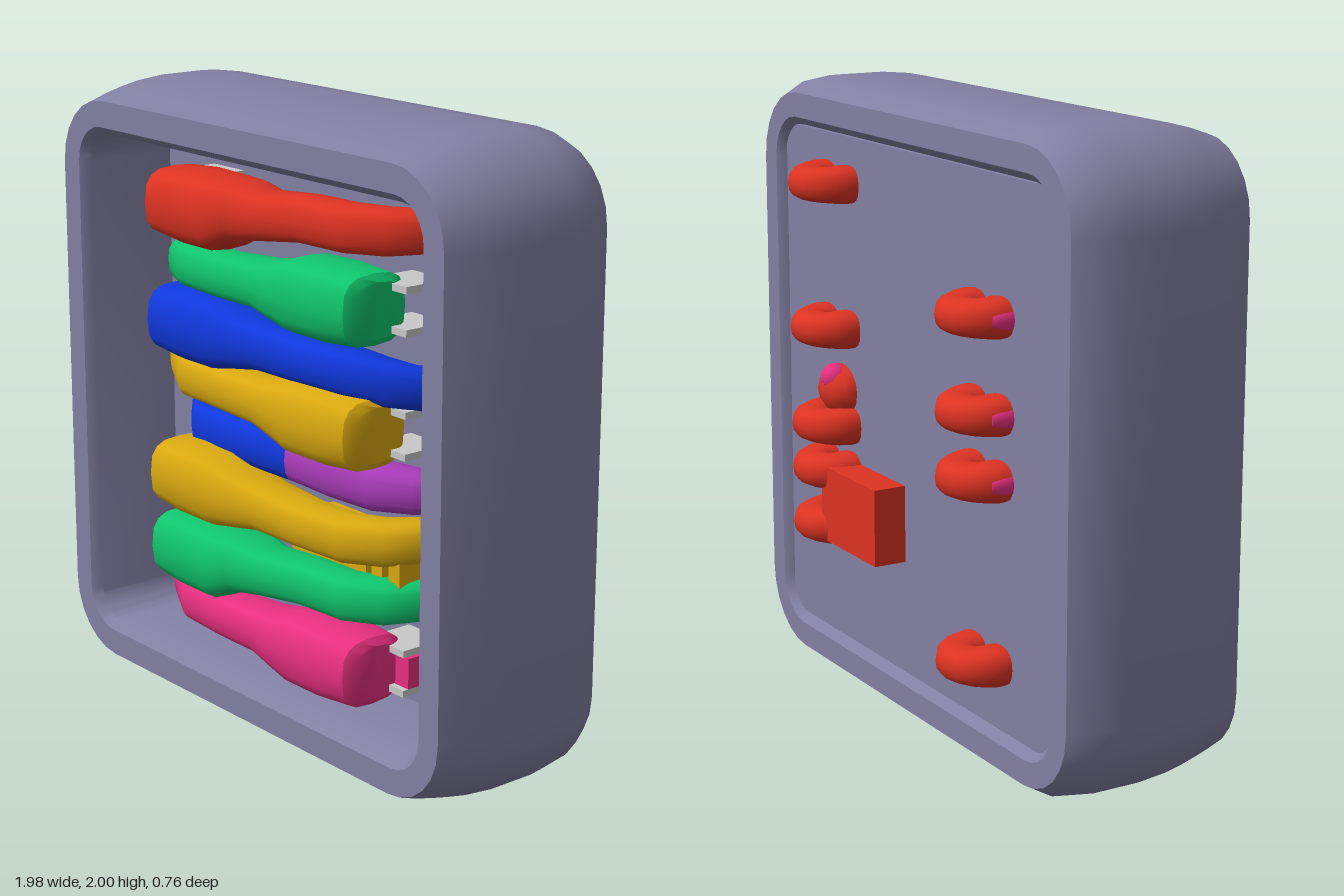
import * as THREE from 'three';
import { toCreasedNormals } from 'three/addons/utils/BufferGeometryUtils.js';

const mat = (name, color) => {
  const m = new THREE.MeshStandardMaterial({ color });
  m.name = name;
  return m;
};

// Builds a surface from rings of points; optionally closes the ring list or caps its ends
function skin(rings, { loop = false, caps = false } = {}) {
  const n = rings[0].length, pos = rings.flat().flatMap(p => [p.x, p.y, p.z]), idx = [];
  const last = loop ? rings.length : rings.length - 1;
  for (let i = 0; i < last; i++) {
    const k = (i + 1) % rings.length;
    for (let j = 0; j < n; j++) {
      const a = i * n + j, b = i * n + (j + 1) % n, c = k * n + j, d = k * n + (j + 1) % n;
      idx.push(a, b, c, b, d, c);
    }
  }
  if (caps) {
    const e = (rings.length - 1) * n;
    for (let j = 1; j < n - 1; j++) idx.push(0, j + 1, j, e, e + j, e + j + 1);
  }
  const g = new THREE.BufferGeometry();
  g.setAttribute('position', new THREE.Float32BufferAttribute(pos, 3));
  g.setIndex(idx);
  return toCreasedNormals(g, 0.7);
}

// Sweeps a squarish oval along stations [u, y, z, halfHeight, halfDepth]; dir mirrors in x
function sweep(stations, dir, power) {
  const up = new THREE.Vector3(0, 1, 0);
  const pts = stations.map(s => new THREE.Vector3(s[0] * dir, s[1], s[2]));
  const sq = v => Math.sign(v) * Math.abs(v) ** power;
  const rings = pts.map((p, i) => {
    const t = pts[Math.min(i + 1, pts.length - 1)].clone().sub(pts[Math.max(i - 1, 0)]);
    t.y = 0;
    const side = t.normalize().cross(up);
    return Array.from({ length: 16 }, (_, j) => {
      const a = j / 16 * Math.PI * 2;
      return p.clone().addScaledVector(up, sq(Math.cos(a)) * stations[i][3])
        .addScaledVector(side, sq(Math.sin(a)) * stations[i][4]);
    });
  });
  return skin(rings, { caps: true });
}

// Rounded square ring of half-size h at depth z
function squareRing(h, z) {
  const r = 0.09 + (h - 0.82) * 1.1, out = [];
  for (let c = 0; c < 4; c++) for (let k = 0; k <= 6; k++) {
    const a = (c + k / 6) * Math.PI / 2, m = c * Math.PI / 2 + Math.PI / 4;
    const q = (h - r) * Math.SQRT2;
    out.push(new THREE.Vector3((q * Math.cos(m) + r * Math.cos(a)) * 0.99,
      1 + q * Math.sin(m) + r * Math.sin(a), z));
  }
  return out;
}

export function createModel() {
  const M = {
    slate: mat('slate', 0x8280a2), red: mat('red', 0xdd3322), green: mat('green', 0x10c46c),
    blue: mat('blue', 0x1038dd), yellow: mat('yellow', 0xd8a810), purple: mat('purple', 0xa83cb8),
    pink: mat('pink', 0xe83080), lightGrey: mat('lightGrey', 0xc8c8c8),
  };
  const model = new THREE.Group();
  model.name = 'handleRack';
  const add = (name, geo, m, parent = model) => {
    const mesh = new THREE.Mesh(geo, M[m]);
    mesh.name = name;
    parent.add(mesh);
    return mesh;
  };
  const box = (name, m, x, y, z, w, h, d, parent) =>
    add(name, new THREE.BoxGeometry(w, h, d), m, parent).position.set(x, y, z);

  // Thick rounded frame: closed profile of [half-size, z], run from back to front
  const profile = [[0.825, -0.1], [0.83, 0.34], [0.855, 0.37], [0.94, 0.37], [0.96, 0.31], [0.978, 0.24], [0.99, 0.18],
    [1, 0.08], [1, -0.08], [0.985, -0.18], [0.95, -0.24], [0.87, -0.24], [0.845, -0.215]].reverse();
  add('frame', skin(profile.map(([h, z]) => squareRing(h, z)), { loop: true }), 'slate');
  box('backPanel', 'slate', 0, 1, -0.093, 1.66, 1.68, 0.245);

  // Half-round loop of cable behind the panel, sometimes with a pink outer foot
  const backLoop = (dir, y, pinkFoot, parent) => {
    const arc = Array.from({ length: 9 }, (_, i) => {
      const a = i / 8 * Math.PI, s = Math.sin(a);
      return [0.468 + 0.074 * Math.cos(a), y, -0.237 - 0.074 * s, 0.062 - 0.008 * s, 0.067];
    });
    add('backLoop', sweep([[0.542, y, -0.2, 0.06, 0.066], ...arc, [0.394, y, -0.2, 0.06, 0.066]], dir, 0.8), 'red', parent);
    if (pinkFoot) add('loopFoot', sweep([[0.548, y, -0.2, 0.05, 0.066], [0.548, y, -0.237, 0.048, 0.066],
      [0.54, y, -0.265, 0.036, 0.066]], dir, 0.9), 'pink', parent);
  };

  // Handles: [colour, direction of tail, grip height, tail height, loop height, pink foot]
  const handles = [
    ['red', 1, 1.645, 1.69, 1.69, false], ['green', -1, 1.465, 1.45, 1.43, true],
    ['blue', 1, 1.27, 1.26, 1.22, true], ['yellow', -1, 1.09, 1.09, 1.14, true],
    ['yellow', 1, 0.755, 0.74, 0.75, false], ['green', 1, 0.51, 0.555, 0.565, false],
    ['pink', -1, 0.345, 0.33, 0.37, false],
  ];
  for (const [colour, dir, y, ty, ly, pinkFoot] of handles) {
    const g = new THREE.Group();
    g.name = colour + 'Handle';
    model.add(g);
    const mid = (y + ty) / 2, end = (ty + ly) / 2;
    add('grip', sweep([
      [-0.505, y, 0.24, 0.085, 0.095], [-0.485, y, 0.24, 0.108, 0.122], [-0.35, y, 0.245, 0.118, 0.13],
      [-0.2, y, 0.25, 0.116, 0.128], [-0.1, mid, 0.25, 0.092, 0.11], [0, mid, 0.25, 0.076, 0.09],
      [0.2, ty, 0.25, 0.071, 0.08], [0.38, ty, 0.24, 0.072, 0.075], [0.49, end, 0.19, 0.07, 0.07],
      [0.55, ly, 0.11, 0.064, 0.068], [0.565, ly, 0.03, 0.06, 0.066], [0.55, ly, -0.1, 0.06, 0.065],
    ], dir, 0.66), colour, g);
    // Open bracket behind the grip end
    for (const s of [-1, 1]) box('bracketArm', 'lightGrey', -0.49 * dir, y + s * 0.064, 0.1, 0.16, 0.022, 0.18, g);
    box('bracketEnd', 'lightGrey', -0.56 * dir, y, 0.06, 0.018, 0.12, 0.07, g);
    backLoop(dir, ly, pinkFoot, g);
  }
  box('bracketFill', 'pink', 0.54, 0.34, 0.1, 0.06, 0.1, 0.14);

  // Two-colour bar with both ends passing through the panel
  const bar = new THREE.Group();
  bar.name = 'twoColourBar';
  model.add(bar);
  for (const [colour, dir, start, ly, tip] of [['blue', -1, -0.07, 0.94, -0.03], ['purple', 1, 0.07, 0.9, 0.02]]) {
    add(colour + 'Half', sweep([
      [start, 0.91, 0.17, 0.08, 0.08], [0.25, 0.905, 0.17, 0.08, 0.08], [0.42, 0.9, 0.16, 0.075, 0.075],
      [0.52 + tip, (0.9 + ly) / 2, 0.11, 0.066, 0.07], [0.56 + tip, ly, 0.04, 0.06, 0.066], [0.55, ly, -0.1, 0.06, 0.065],
    ], dir, 0.7), colour, bar);
    backLoop(dir, ly, true, bar);
  }

  // Block mounted through the panel, with two tabs at its front end
  box('blockFront', 'yellow', 0.22, 0.66, 0.1, 0.36, 0.13, 0.19);
  for (const x of [0.45, 0.53]) box('blockTab', 'yellow', x, 0.65, 0.1, 0.05, 0.09, 0.19);
  box('blockBack', 'red', 0.22, 0.655, -0.265, 0.36, 0.25, 0.12);

  // Rounded knot beside the back loops
  const knot = add('backKnot', new THREE.SphereGeometry(0.085, 12, 8), 'red');
  knot.scale.x = 1.15;
  knot.position.set(0.45, 1.01, -0.21);
  add('knotSpot', new THREE.SphereGeometry(0.05, 10, 6), 'pink').position.set(0.45, 1.05, -0.245);
  return model;
}
